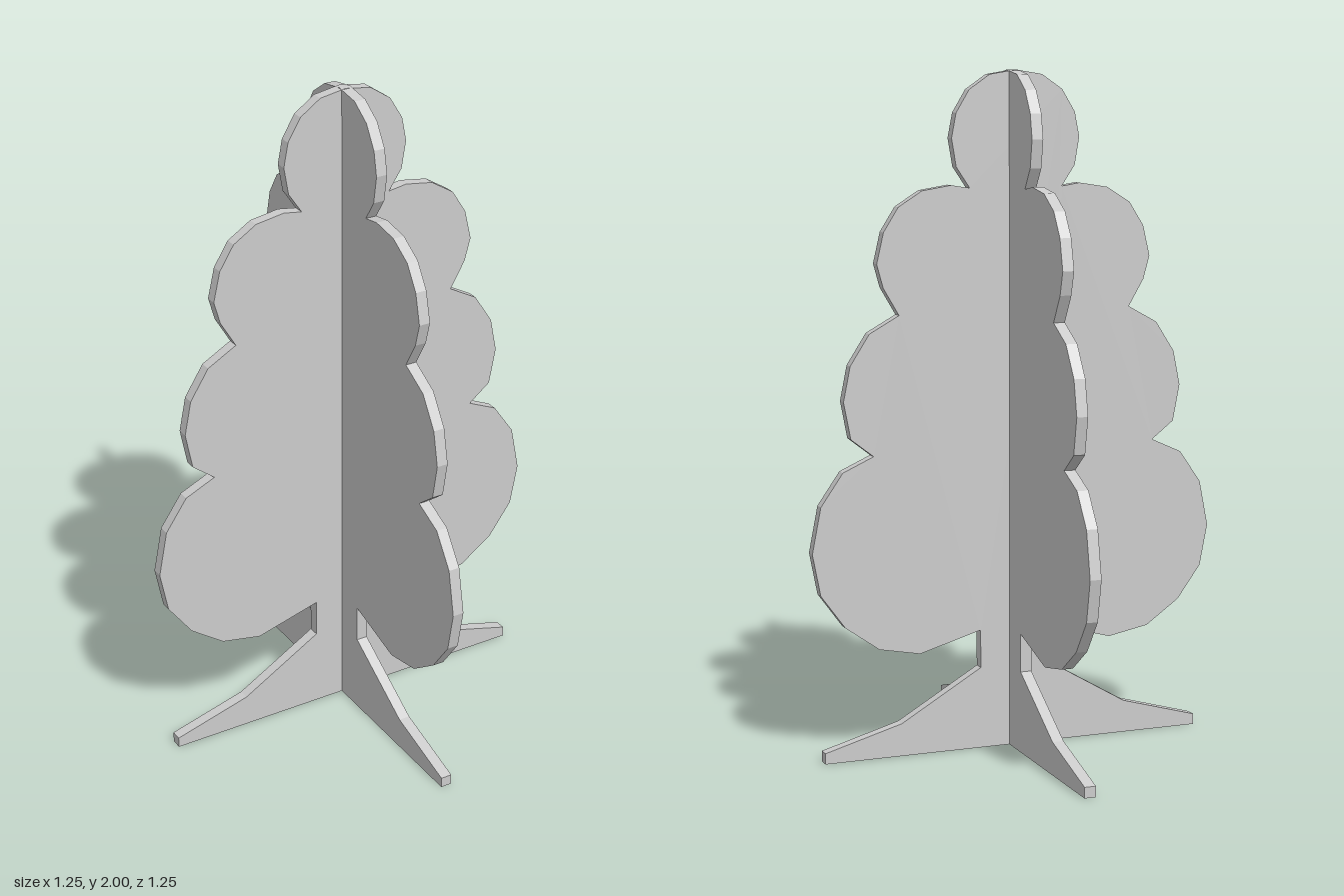
import * as THREE from 'three';

const THICKNESS = 0.034;
const AXIS = 0.004; // small offset of trunk and crossing line from the crown's middle

// Half outline of foot and trunk, measured from the trunk axis
const base = [[0.591, 0], [0.591, 0.032], [0.356, 0.098], [0.108, 0.244], [0.108, 0.358]];

// Half outline of the crown, one row per lobe, bottom to top
const crown = [
  [0.302, 0.303], [0.427, 0.327], [0.53, 0.4], [0.603, 0.5], [0.627, 0.624], [0.6, 0.76], [0.533, 0.856], [0.44, 0.898],
  [0.508, 0.951], [0.529, 1.06], [0.508, 1.163], [0.45, 1.253], [0.36, 1.303],
  [0.407, 1.383], [0.426, 1.452], [0.405, 1.542], [0.36, 1.613], [0.288, 1.658], [0.2, 1.672], [0.143, 1.663],
  [0.184, 1.724], [0.198, 1.806], [0.184, 1.878], [0.144, 1.944], [0.081, 1.987],
];

// Full closed outline: right half up, tip, left half down
function treeOutline() {
  const half = (side) => [
    ...base.map(([x, y]) => new THREE.Vector2(AXIS + side * x, y)),
    ...crown.map(([x, y]) => new THREE.Vector2(side * x, y)),
  ];
  return new THREE.Shape([...half(1), new THREE.Vector2(0, 2), ...half(-1).reverse()]);
}

export function createModel() {
  const tree = new THREE.Group();
  tree.name = 'slottedTree';
  const material = new THREE.MeshStandardMaterial({ color: 0xcccccc, flatShading: true });
  const geometry = new THREE.ExtrudeGeometry(treeOutline(), { depth: THICKNESS, bevelEnabled: false });
  geometry.translate(0, 0, -THICKNESS / 2);

  // Panel facing front and back
  const frontPanel = new THREE.Mesh(geometry, material);
  frontPanel.name = 'frontPanel';
  frontPanel.position.z = -AXIS;

  // The same panel turned a quarter, crossing the first
  const sidePanel = new THREE.Mesh(geometry, material);
  sidePanel.name = 'sidePanel';
  sidePanel.rotation.y = Math.PI / 2;
  sidePanel.position.x = AXIS;

  tree.add(frontPanel, sidePanel);
  return tree;
}
